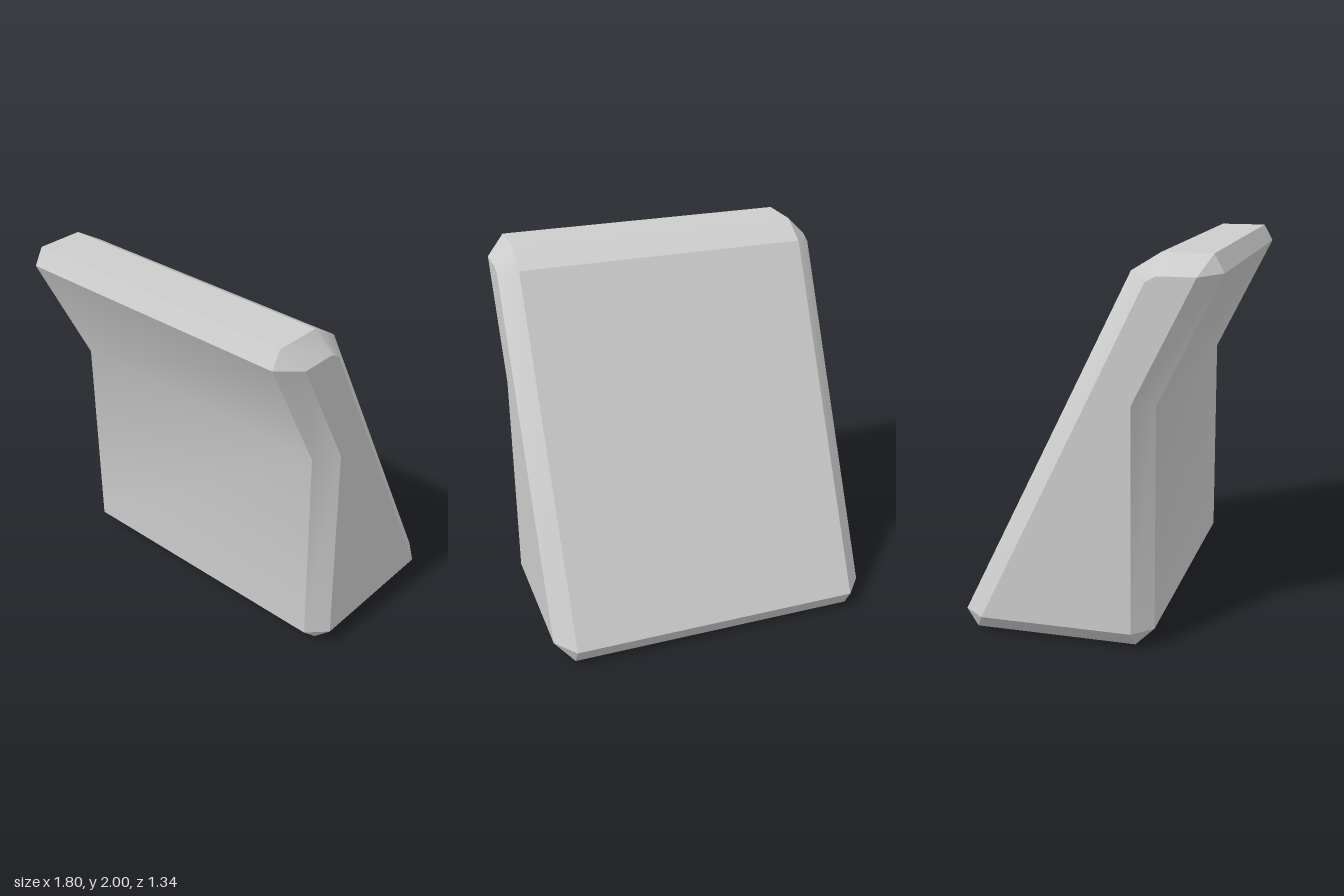
import * as THREE from 'three';
import { toCreasedNormals } from 'three/addons/utils/BufferGeometryUtils.js';

// Side outlines as [z, y], running from the top front over the back and base.
const outer = [[0.62, 2], [0.37, 2], [0.225, 1.91], [-0.67, 0.095], [-0.61, 0],
  [0.25, 0], [0.35, 0.1], [0.35, 1.26], [0.67, 1.91]];
// Matching corners of the flat side faces; repeated points close the corner facets.
const inner = [[0.56, 1.9], [0.37, 1.9], [0.315, 1.87], [-0.55, 0.1], [-0.55, 0.1],
  [0.25, 0.1], [0.25, 0.1], [0.25, 1.28], [0.56, 1.9]];
const bend = 7;

function wedgeGeometry() {
  const n = outer.length;
  const ring = (x, pts) => pts.map(([z, y]) => new THREE.Vector3(x, y, z));
  const rings = [ring(-0.9, inner), ring(-0.8, outer), ring(0.8, outer), ring(0.9, inner)];
  const positions = [];
  const tri = (a, b, c) => {
    // Skip triangles collapsed by the repeated corners
    if (new THREE.Triangle(a, b, c).getArea() < 1e-6) return;
    for (const p of [a, b, c]) positions.push(p.x, p.y, p.z);
  };
  // Bevel, body, bevel
  for (let r = 0; r < 3; r++) {
    for (let i = 0; i < n; i++) {
      const j = (i + 1) % n;
      const a = rings[r][i], b = rings[r][j], c = rings[r + 1][j], d = rings[r + 1][i];
      tri(a, d, c);
      tri(a, c, b);
    }
  }
  // Flat sides, fanned from the inward bend
  for (let i = 0; i < n; i++) {
    const j = (i + 1) % n;
    tri(rings[0][bend], rings[0][i], rings[0][j]);
    tri(rings[3][bend], rings[3][j], rings[3][i]);
  }
  const geometry = new THREE.BufferGeometry();
  geometry.setAttribute('position', new THREE.Float32BufferAttribute(positions, 3));
  // Soft front bend, crisp bevels
  return toCreasedNormals(geometry, 0.5);
}

export function createModel() {
  const grey = new THREE.MeshStandardMaterial({ color: 0xcccccc });
  grey.name = 'light grey';
  const group = new THREE.Group();
  group.name = 'beveledWedge';
  const body = new THREE.Mesh(wedgeGeometry(), grey);
  body.name = 'wedgeBody';
  group.add(body);
  return group;
}
